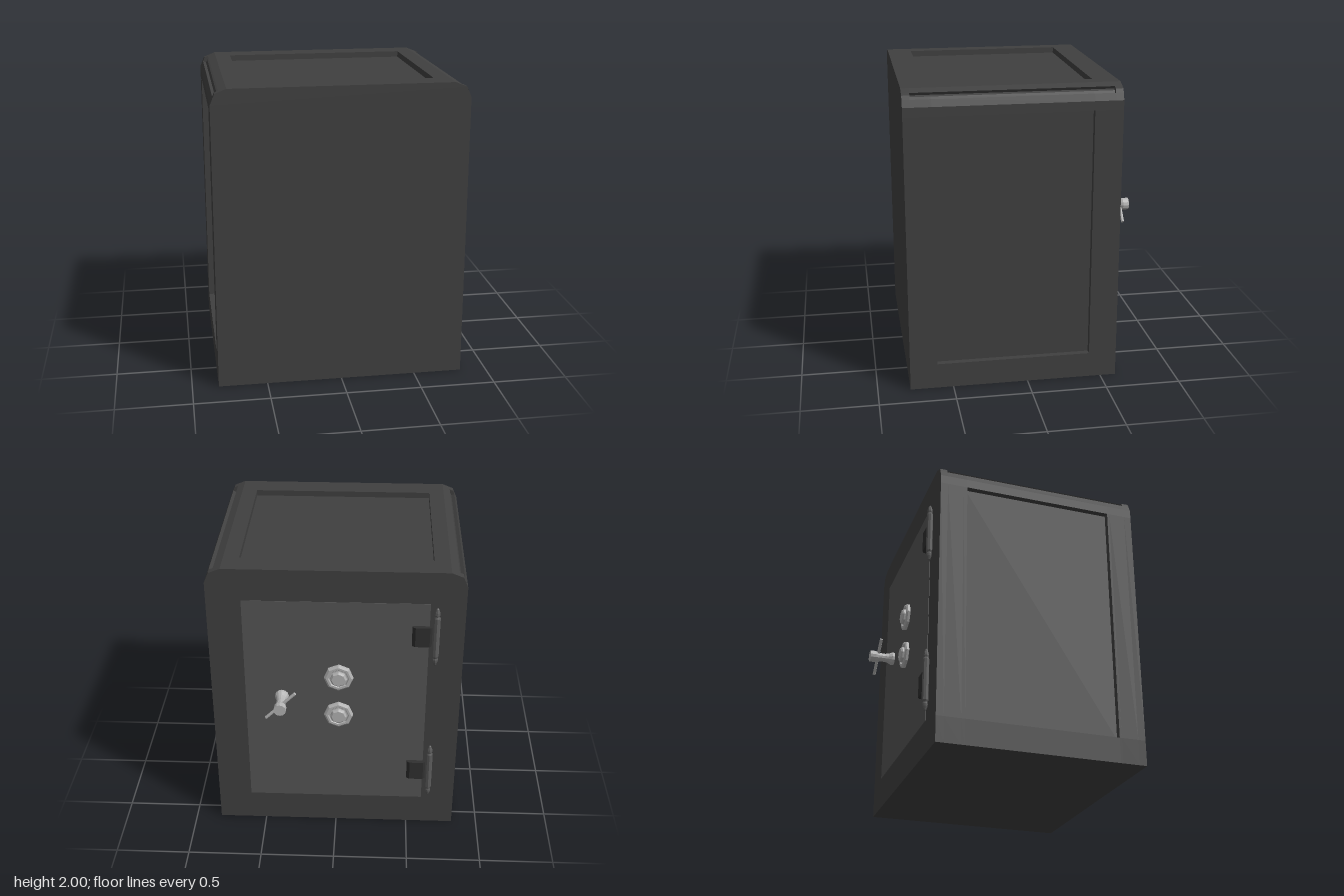
import * as THREE from 'three';

const mat = (color, flatShading = true) =>
  new THREE.MeshStandardMaterial({ color, flatShading, side: THREE.DoubleSide });
const bodyMat = mat(0x404040);
const doorMat = mat(0x555555);
const barrelMat = mat(0x5c5c5c);
const plateMat = mat(0x303030);
const metalMat = mat(0xb4b4b4);

const BACK = -0.605, FRONT = 0.785;

function part(name, geometry, material, parent) {
  const mesh = new THREE.Mesh(geometry, material);
  mesh.name = name;
  parent.add(mesh);
  return mesh;
}

// Lathe from [radius, height] pairs, height pointing out of the door (-z)
function turned(points, sides) {
  const g = new THREE.LatheGeometry(points.map(p => new THREE.Vector2(...p)), sides);
  return g.rotateX(-Math.PI / 2);
}

// Cabinet cross-section; each flag sinks one feature into the outline
function outline({ slot, top, side } = {}) {
  const sx = side ? 0.785 : 0.825;
  const ty = top ? 1.96 : 2;
  const groove = slot
    ? [[0.785, 1.935], [0.775, 1.955], [0.76, 1.963]]
    : [[0.806, 1.945], [0.795, 1.97], [0.77, 1.98]];
  const half = [
    [0.825, 0], [0.825, 0.17], [sx, 0.17], [sx, 1.84], [0.825, 1.84], [0.825, 1.9],
    [0.806, 1.945], ...groove, [0.77, 1.98], [0.72, 2], [0.617, 2], [0.617, ty],
  ];
  return [...half, ...half.map(([x, y]) => [-x, y]).reverse()];
}

// Loft the cross-sections from back to front; repeated z makes the step walls
function cabinetShell() {
  const slabs = [
    [BACK, {}], [-0.555, { slot: 1 }], [-0.445, { slot: 1, top: 1 }],
    [-0.42, { slot: 1, top: 1, side: 1 }], [0.605, { slot: 1, top: 1 }],
    [0.62, { slot: 1 }], [0.735, {}],
  ];
  const rings = [];
  slabs.forEach(([z, flags], i) => {
    const zEnd = i + 1 < slabs.length ? slabs[i + 1][0] : FRONT;
    for (const rz of [z, zEnd])
      rings.push(outline(flags).map(([x, y]) => new THREE.Vector3(x, y, rz)));
  });
  const pos = [];
  const tri = new THREE.Triangle();
  const add = (a, b, c) => {
    if (tri.set(a, b, c).getArea() > 1e-7) for (const v of [a, b, c]) pos.push(v.x, v.y, v.z);
  };
  for (let r = 0; r + 1 < rings.length; r++) {
    const A = rings[r], B = rings[r + 1];
    for (let i = 0; i < A.length; i++) {
      const j = (i + 1) % A.length;
      add(A[i], A[j], B[j]);
      add(A[i], B[j], B[i]);
    }
  }
  const g = new THREE.BufferGeometry();
  g.setAttribute('position', new THREE.Float32BufferAttribute(pos, 3));
  g.computeVertexNormals();
  return g;
}

function makeCabinet() {
  const cabinet = new THREE.Group();
  cabinet.name = 'cabinet';
  part('cabinetShell', cabinetShell(), bodyMat, cabinet);
  const half = [[0.825, 0], [0.825, 1.9], [0.795, 1.97], [0.72, 2]];
  const pts = [...half, ...half.map(([x, y]) => [-x, y]).reverse()];
  const cap = new THREE.ShapeGeometry(new THREE.Shape(pts.map(p => new THREE.Vector2(...p))));
  part('frontWall', cap, bodyMat, cabinet).position.z = FRONT;
  const back = part('backWall', cap, bodyMat, cabinet);
  back.rotation.y = Math.PI;
  back.position.z = BACK;
  return cabinet;
}

// Pointed hinge barrel with a chamfered leaf lying on the door
function makeHinge(y) {
  const hinge = new THREE.Group();
  hinge.name = 'hinge';
  const tip = [[0.022, 0.14], [0.019, 0.147], [0.016, 0.153], [0.019, 0.165],
    [0.017, 0.182], [0.009, 0.206], [0, 0.216]];
  const profile = [...tip.map(([r, h]) => [r, -h]).reverse(), ...tip];
  const barrel = new THREE.LatheGeometry(profile.map(p => new THREE.Vector2(...p)), 8);
  part('hingeBarrel', barrel, barrelMat, hinge).position.set(-0.643, 0, -0.626);

  const leaf = new THREE.Shape([[-0.617, 0], [-0.49, 0], [-0.49, 0.018], [-0.51, 0.032],
    [-0.603, 0.032], [-0.617, 0.018]].map(p => new THREE.Vector2(...p)));
  const leafGeo = new THREE.ExtrudeGeometry(leaf, { depth: 0.14, bevelEnabled: false });
  leafGeo.rotateX(-Math.PI / 2);
  part('hingeLeaf', leafGeo, plateMat, hinge).position.set(0, -0.07, BACK);
  hinge.position.y = y;
  return hinge;
}

// Turned hub with a diagonal bar through it
function makeHandle() {
  const handle = new THREE.Group();
  handle.name = 'handle';
  part('handleHub', turned([[0.046, 0], [0.046, 0.02], [0.034, 0.045], [0.03, 0.07],
    [0.031, 0.12], [0.041, 0.14], [0.041, 0.18], [0, 0.18]], 12), metalMat, handle);
  const bar = part('handleBar', new THREE.CylinderGeometry(0.011, 0.011, 0.278, 8), metalMat, handle);
  bar.position.z = -0.122;
  bar.rotation.z = Math.PI / 4;
  handle.position.set(0.358, 1.062, BACK);
  return handle;
}

export function createModel() {
  const safe = new THREE.Group();
  safe.name = 'safe';
  safe.add(makeCabinet());

  // Door panel, barely proud of the back wall
  part('door', new THREE.BoxGeometry(1.2, 1.56, 0.01), doorMat, safe)
    .position.set(0, 1, BACK + 0.002);

  for (const y of [1.55, 0.475]) safe.add(makeHinge(y));

  // Octagonal dials
  const dialGeo = turned([[0.097, 0], [0.097, 0.02], [0.085, 0.029], [0.07, 0.029],
    [0.064, 0.022], [0.055, 0.022], [0.055, 0.038], [0.045, 0.047], [0, 0.047]], 8);
  for (const y of [1.22, 0.925])
    part('dial', dialGeo, metalMat, safe).position.set(-0.02, y, BACK);

  safe.add(makeHandle());
  return safe;
}
